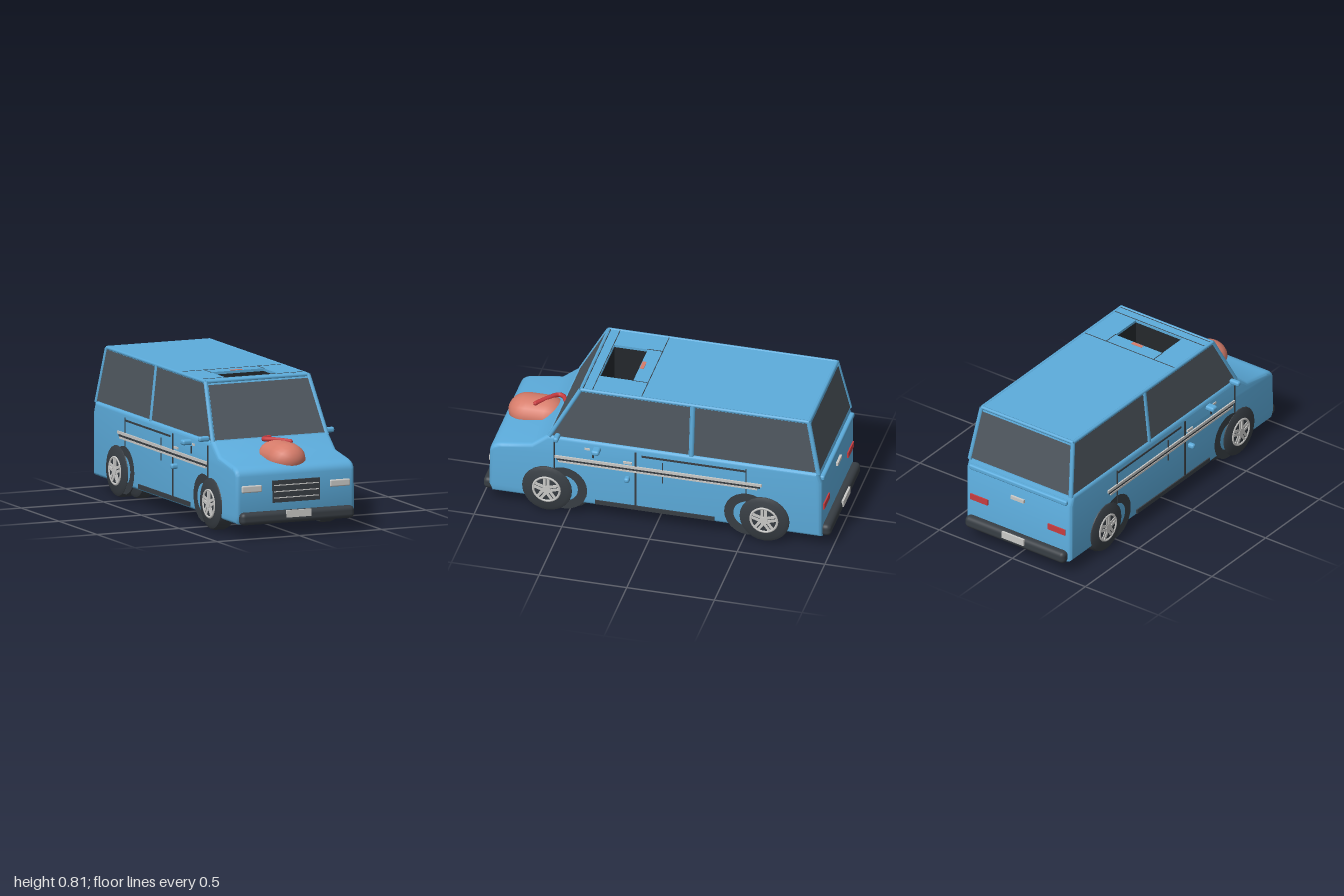
import * as THREE from 'three';
import { toCreasedNormals } from 'three/addons/utils/BufferGeometryUtils.js';
import { RoundedBoxGeometry } from 'three/addons/geometries/RoundedBoxGeometry.js';

const V = (x, y, z) => new THREE.Vector3(x, y, z);
const paint = (name, color) => {
  const m = new THREE.MeshStandardMaterial({ color, side: THREE.DoubleSide });
  m.name = name;
  return m;
};

export function createModel() {
  const blue = paint('body blue', 0x5cacdc);
  const dark = paint('rubber and trim', 0x383e44);
  const glass = paint('window glass', 0x4e565e);
  const silver = paint('silver', 0xcacac8);
  const salmon = paint('salmon', 0xd67c6a);
  const red = paint('red', 0xc83c40);
  const tan = paint('tan', 0xdcc48c);
  const teal = paint('deck teal', 0x2f7890);
  const black = paint('cabin black', 0x24282c);

  const root = new THREE.Group();
  root.name = 'van';
  const add = (name, geo, mat, x = 0, y = 0, z = 0, parent = root) => {
    const m = new THREE.Mesh(geo, mat);
    m.name = name;
    m.position.set(x, y, z);
    parent.add(m);
    return m;
  };
  const box = (name, mat, w, h, d, x, y, z, parent) => add(name, new THREE.BoxGeometry(w, h, d), mat, x, y, z, parent);
  const soft = (name, mat, w, h, d, r, x, y, z) => add(name, new RoundedBoxGeometry(w, h, d, 3, r), mat, x, y, z);
  const bar = (name, mat, a, b, r, parent) =>
    add(name, new THREE.TubeGeometry(new THREE.LineCurve3(a, b), 1, r, 8), mat, 0, 0, 0, parent);

  // Four-cornered panel facing away from the van's middle, lifted off the surface
  const panel = (name, mat, pts, lift = 0) => {
    const n = pts[1].clone().sub(pts[0]).cross(pts[2].clone().sub(pts[0])).normalize();
    const out = pts[0].clone().add(pts[2]).multiplyScalar(0.5).sub(V(0, 0.5, 0));
    let p = pts;
    if (n.dot(out) < 0) { p = [...pts].reverse(); n.negate(); }
    p = p.map(v => v.clone().addScaledVector(n, lift));
    const g = new THREE.BufferGeometry().setFromPoints([p[0], p[1], p[2], p[0], p[2], p[3]]);
    g.computeVertexNormals();
    return add(name, g, mat);
  };

  // Lower body: side profile extruded across the width
  const side = new THREE.Shape();
  side.moveTo(-0.945, 0.075);
  side.lineTo(0.935, 0.075);
  side.lineTo(0.955, 0.12);
  side.lineTo(0.95, 0.34);
  side.quadraticCurveTo(0.945, 0.385, 0.88, 0.395);
  side.lineTo(0.71, 0.42);
  side.lineTo(0.62, 0.492);
  side.lineTo(-0.92, 0.492);
  side.lineTo(-0.945, 0.43);
  const bodyGeo = new THREE.ExtrudeGeometry(side, {
    depth: 0.67, bevelThickness: 0.025, bevelSize: 0.02, bevelOffset: -0.02, bevelSegments: 4, curveSegments: 8,
  });
  bodyGeo.translate(0, 0, -0.335).rotateY(-Math.PI / 2);
  add('lowerBody', toCreasedNormals(bodyGeo, 0.6), blue);

  // Greenhouse: tapered walls, t runs from belt line (0) to roof (1)
  const lerp = THREE.MathUtils.lerp;
  const wx = t => lerp(0.346, 0.312, t), fz = t => lerp(0.61, 0.44, t), bz = t => lerp(-0.925, -0.86, t);
  const wy = t => lerp(0.485, 0.797, t);
  const corner = (s, f, t) => V(s * wx(t), wy(t), f > 0 ? fz(t) : bz(t));
  for (const s of [-1, 1]) {
    panel('sideWall', blue, [corner(s, 1, 0), corner(s, -1, 0), corner(s, -1, 1), corner(s, 1, 1)]);
    panel('endWall', blue, [corner(-1, s, 0), corner(1, s, 0), corner(1, s, 1), corner(-1, s, 1)]);
    const at = (z, t) => V(s * wx(t), wy(t), z);
    panel('frontSideWindow', glass, [at(0.595, 0.03), at(-0.185, 0.03), at(-0.185, 0.97), at(0.435, 0.97)], 0.006);
    panel('rearSideWindow', glass, [at(-0.215, 0.03), at(-0.91, 0.03), at(-0.85, 0.97), at(-0.215, 0.97)], 0.006);
    bar('middlePillar', blue, at(-0.2, 0), at(-0.2, 1), 0.014);
    bar('roofRail', blue, corner(s, 1, 1), corner(s, -1, 1), 0.01);
    bar('roofEndRail', blue, corner(-1, s, 1), corner(1, s, 1), 0.01);
    for (const f of [-1, 1]) bar('cornerPillar', blue, corner(s, f, 0), corner(s, f, 1), 0.013);
    const e = t => (s > 0 ? fz(t) : bz(t));
    const w = t => wx(t) - 0.012;
    panel(s > 0 ? 'windshield' : 'rearWindow', glass, [[-1, 0.03], [1, 0.03], [1, 0.94], [-1, 0.94]]
      .map(([k, t]) => V(k * w(t), wy(t), e(t))), 0.006);
  }

  // Roof with open sunroof and cabin well below it
  const roof = new THREE.Shape([[-0.312, -0.44], [0.312, -0.44], [0.312, 0.86], [-0.312, 0.86]]
    .map(([x, y]) => new THREE.Vector2(x, y)));
  roof.holes.push(new THREE.Path([[-0.16, -0.37], [-0.16, -0.18], [0.16, -0.18], [0.16, -0.37]]
    .map(([x, y]) => new THREE.Vector2(x, y))));
  add('roof', new THREE.ExtrudeGeometry(roof, { depth: 0.015, bevelEnabled: false }).rotateX(-Math.PI / 2), blue, 0, 0.788, 0);
  for (const s of [-1, 1]) {
    box('wellSide', black, 0.006, 0.28, 0.2, s * 0.163, 0.648, 0.275);
    box('wellEnd', black, 0.326, 0.28, 0.006, 0, 0.648, 0.275 + s * 0.098);
  }
  box('wellFloor', black, 0.32, 0.01, 0.19, 0, 0.5, 0.275);
  for (const z of [0.095, 0.375, 0.428]) box('roofSeam', dark, 0.62, 0.003, 0.004, 0, 0.803, z);
  for (const s of [-1, 1]) box('sunroofTrack', dark, 0.004, 0.003, 0.09, s * 0.162, 0.803, 0.14);
  box('sunroofTab', salmon, 0.07, 0.004, 0.022, 0, 0.803, 0.165);

  // Hood bulge with a bent red handle
  const bulge = add('hoodBulge', new THREE.CapsuleGeometry(0.11, 0.11, 6, 18).rotateX(Math.PI / 2), salmon, 0, 0.405, 0.765);
  bulge.scale.set(1, 0.82, 1);
  const bend = new THREE.CatmullRomCurve3([V(0.055, 0.488, 0.765), V(-0.01, 0.494, 0.705), V(-0.056, 0.492, 0.66),
    V(-0.045, 0.492, 0.63), V(0, 0.492, 0.605)]);
  add('hoodHandle', new THREE.TubeGeometry(bend, 24, 0.013, 8), red);
  for (const t of [0, 1]) {
    const p = bend.getPoint(t);
    add('handleTip', new THREE.SphereGeometry(0.013, 8, 6), red, p.x, p.y, p.z);
  }

  // Bumpers, plates, grille and lamps
  for (const s of [-1, 1]) {
    soft('bumper', dark, s > 0 ? 0.69 : 0.68, 0.07, 0.06, 0.025, 0, 0.108, s * 0.96);
    box('plate', silver, 0.15, 0.04, 0.012, 0, 0.125, s * 0.992);
    soft('headlight', silver, 0.122, 0.04, 0.02, 0.008, s * 0.268, 0.271, 0.95);
    box('taillight', red, 0.12, 0.035, 0.016, s * 0.265, 0.26, -0.945);
  }
  box('grille', dark, 0.286, 0.123, 0.016, 0, 0.248, 0.952);
  for (const y of [0.213, 0.248, 0.283]) box('grilleSlat', silver, 0.27, 0.005, 0.006, 0, y, 0.962);
  soft('rearLedge', blue, 0.67, 0.03, 0.03, 0.01, 0, 0.45, -0.94);
  box('rearHandle', silver, 0.09, 0.02, 0.02, 0, 0.36, -0.948);

  // Side trim, door seams, handles and mirrors
  for (const s of [-1, 1]) {
    const strip = (name, mat, z0, z1, y0, y1, x = 0.361) =>
      box(name, mat, 0.008, y1 - y0, Math.abs(z1 - z0), s * x, (y0 + y1) / 2, (z0 + z1) / 2);
    strip('upperStripe', silver, 0.575, -0.605, 0.358, 0.374, 0.364);
    strip('lowerStripe', silver, 0.555, -0.58, 0.334, 0.345, 0.364);
    strip('stripeGap', dark, 0.565, -0.595, 0.345, 0.358);
    strip('doorSeam', dark, 0.583, 0.576, 0.12, 0.465);
    strip('doorSeam', dark, 0.12, 0.11, 0.1, 0.465);
    strip('doorSeam', dark, -0.036, -0.042, 0.29, 0.42);
    strip('doorSeam', dark, -0.512, -0.518, 0.25, 0.46);
    strip('slideRail', dark, 0.08, -0.515, 0.44, 0.45);
    strip('sill', dark, 0.345, -0.335, 0.09, 0.115, 0.363);
    strip('doorHandle', silver, 0.185, 0.135, 0.385, 0.398, 0.364);
    strip('keyPlate', silver, 0.405, 0.375, 0.437, 0.449);
    strip('mirrorStem', dark, 0.363, 0.353, 0.39, 0.43);
    soft('upperMirror', blue, 0.066, 0.03, 0.03, 0.012, s * 0.379, 0.501, 0.56);
    soft('lowerMirror', blue, 0.066, 0.03, 0.045, 0.012, s * 0.378, 0.45, 0.335);
    soft('fuelKnob', blue, 0.044, 0.03, 0.03, 0.012, s * 0.374, 0.289, 0.16);
  }

  // Wheels: lathed tyres with spoked hubs facing outward
  const tyre = (r, h) => toCreasedNormals(new THREE.LatheGeometry([[0, -h], [r * 0.8, -h], [r * 0.95, -h * 0.8],
    [r, -h * 0.45], [r, h * 0.45], [r * 0.95, h * 0.8], [r * 0.8, h], [0, h]]
    .map(([a, b]) => new THREE.Vector2(a, b)), 24).rotateZ(-Math.PI / 2), 0.5);
  const wheelTyre = tyre(0.148, 0.052), innerTyre = tyre(0.135, 0.05), midTyre = tyre(0.145, 0.028);
  const rim = new THREE.TorusGeometry(0.076, 0.008, 6, 24).rotateY(Math.PI / 2);
  const arch = new THREE.RingGeometry(0.082, 0.135, 24);
  for (const s of [-1, 1]) for (const f of [-1, 1]) {
    const wheel = new THREE.Group();
    wheel.name = 'wheel';
    wheel.position.set(s * 0.323, 0.148, f * 0.62);
    wheel.rotation.y = s > 0 ? 0 : Math.PI;
    root.add(wheel);
    add('tyre', wheelTyre, dark, 0, 0, 0, wheel);
    add('rim', rim, silver, 0.05, 0, 0, wheel);
    add('hubCap', new THREE.CylinderGeometry(0.024, 0.024, 0.012, 12).rotateZ(Math.PI / 2), silver, 0.052, 0, 0, wheel);
    for (let i = 0; i < 5; i++) for (const d of [-0.011, 0.011]) {
      const spoke = new THREE.BoxGeometry(0.01, 0.066, 0.016).translate(0, 0.042, d);
      add('spoke', spoke.rotateX(i * Math.PI * 0.4), silver, 0.051, 0, 0, wheel);
    }
    add('innerTyre', innerTyre, dark, s * 0.272, 0.142, f * 0.5);
    add('wheelArch', arch, dark, s * 0.363, 0.165, f * 0.525).rotation.y = s * Math.PI / 2;
  }

  // Underside: middle wheels and cross rods
  for (const f of [-1, 1]) {
    add('middleWheel', midTyre, dark, 0, 0.148, f * 0.29);
    for (const z of [0.79, 0.87]) box('crossRod', dark, 0.64, 0.012, 0.02, 0, 0.072, f * z);
  }

  // Small board on tan trucks below the floor
  const deck = new THREE.CapsuleGeometry(0.07, 0.15, 6, 16).rotateX(Math.PI / 2).scale(1, 0.17, 1);
  add('boardDeck', deck, teal, 0, 0.058, 0);
  for (const f of [-1, 1]) {
    box('truckBase', tan, 0.04, 0.02, 0.06, 0, 0.043, f * 0.095);
    for (const z of [0.078, 0.115]) {
      bar('axle', tan, V(-0.06, 0.024, f * z), V(0.06, 0.024, f * z), 0.006);
      for (const s of [-1, 1]) {
        add('boardWheel', new THREE.CylinderGeometry(0.02, 0.02, 0.022, 12).rotateZ(Math.PI / 2), tan, s * 0.056, 0.024, f * z);
      }
    }
  }
  return root;
}
